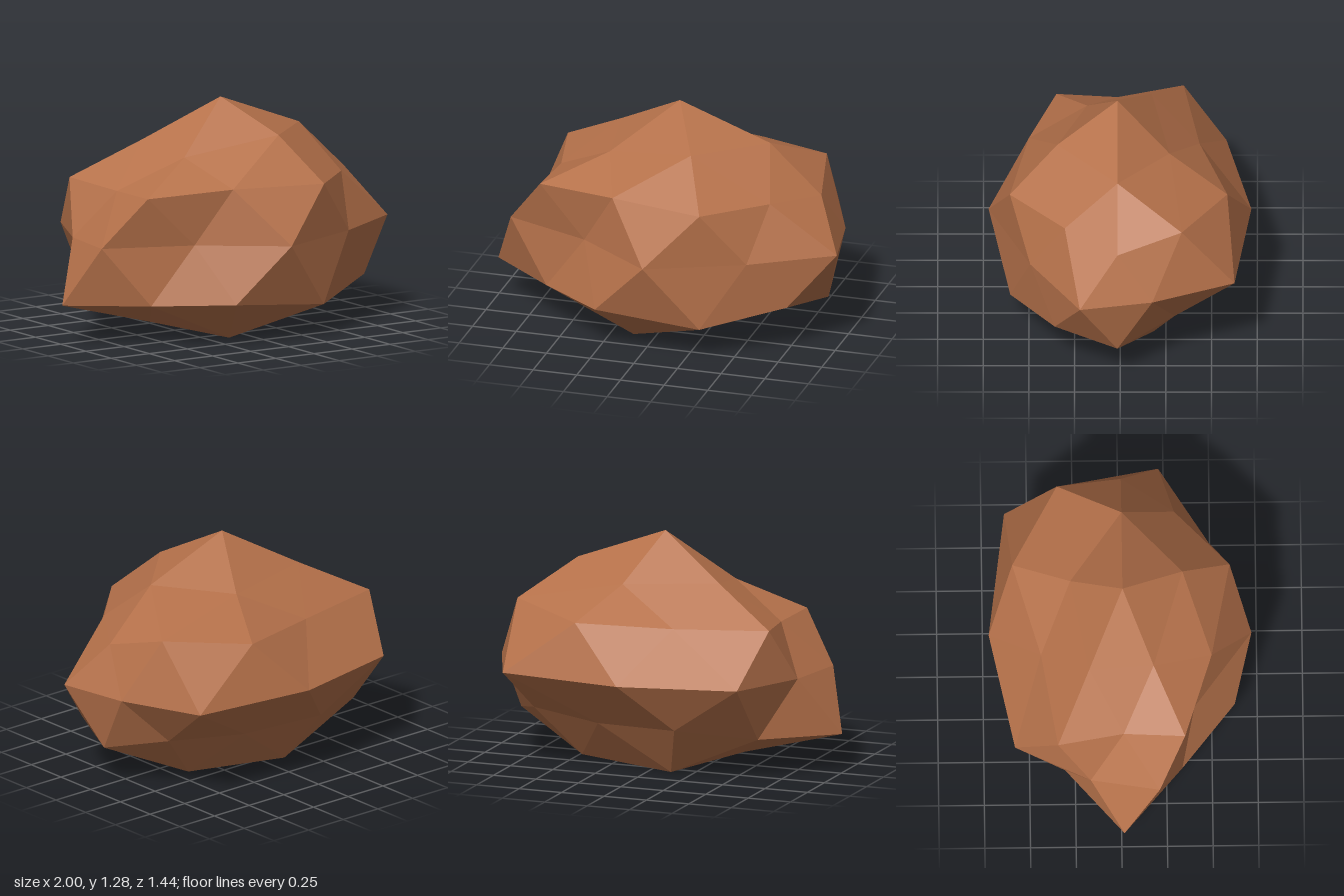
import * as THREE from 'three';

// Faceted boulder: a 42-point icosphere standing on a pole, each point pushed
// in or out along its own direction, then squashed in y and z.
const CENTER = new THREE.Vector3(0.04, 0.555, 0.015);
const SQUASH = new THREE.Vector3(1, 0.64, 0.66);

// sin of latitude for icosphere points: pole mids, base corners, edge mids
const HIGH = 0.8507, BASE = 0.4472, MID = 0.5257;

// one ring of points around the y axis; heights alternate through the list
function ring(heights, startDeg, reach) {
  return reach.map((f, i) => {
    const y = heights[i % heights.length];
    const r = Math.sqrt(1 - y * y);
    const a = THREE.MathUtils.degToRad(startDeg + (360 / reach.length) * i);
    return new THREE.Vector3(r * Math.cos(a), y, r * Math.sin(a))
      .multiplyScalar(f).multiply(SQUASH).add(CENTER);
  });
}

function buildRockGeometry() {
  const [peak] = ring([1], 0, [1.133]);
  const crown = ring([HIGH], 0, [0.98, 1.0, 0.82, 0.915, 0.863]);
  const shoulder = ring([BASE, MID], 0,
    [0.905, 0.875, 1.05, 0.91, 0.967, 0.8, 1.04, 0.84, 1.07, 1.065]);
  const waist = ring([0], 18,
    [1.01, 0.895, 1.07, 0.73, 0.957, 0.894, 1.115, 1.11, 1.2, 0.935]);
  const skirt = ring([-MID, -BASE], 0,
    [1.0, 0.99, 1.1, 1.09, 0.97, 1.163, 0.975, 0.94, 0.84, 0.9]);
  const foot = ring([-HIGH], 36, [0.853, 1.01, 0.885, 1.01, 0.97]);
  const [bottom] = ring([-1], 0, [0.75]);

  const points = [];
  const tri = (a, b, c, flip) => points.push(a, ...(flip ? [c, b] : [b, c]));
  const at = (list, i) => list[(i + list.length) % list.length];

  // cap of 20 faces; "first" is the outer index lined up with inner[0]
  const cap = (pole, inner, outer, first, flip) => {
    for (let k = 0; k < 5; k++) {
      const o = 2 * k + first;
      const a = inner[k], b = at(inner, k + 1);
      tri(pole, b, a, flip);
      tri(a, b, at(outer, o + 1), flip);
      tri(a, at(outer, o), at(outer, o - 1), flip);
      tri(a, at(outer, o + 1), at(outer, o), flip);
    }
  };
  // zigzag band of 20 faces between a ten-point ring and the waist
  const band = (edge, flip) => {
    for (let j = 0; j < 10; j++) {
      tri(edge[j], at(edge, j + 1), waist[j], flip);
      tri(waist[j], at(edge, j + 1), at(waist, j + 1), flip);
    }
  };

  cap(peak, crown, shoulder, 0, false);
  band(shoulder, false);
  band(skirt, true);
  cap(bottom, foot, skirt, 1, true);

  const geometry = new THREE.BufferGeometry().setFromPoints(points);
  geometry.computeVertexNormals(); // unshared corners keep the facets flat
  return geometry;
}

export function createModel() {
  const group = new THREE.Group();
  group.name = 'boulder';

  const clay = new THREE.MeshStandardMaterial({ color: 0xb5714a });
  clay.name = 'clay brown';
  clay.flatShading = true;

  const rock = new THREE.Mesh(buildRockGeometry(), clay);
  rock.name = 'rock';
  group.add(rock);
  return group;
}
